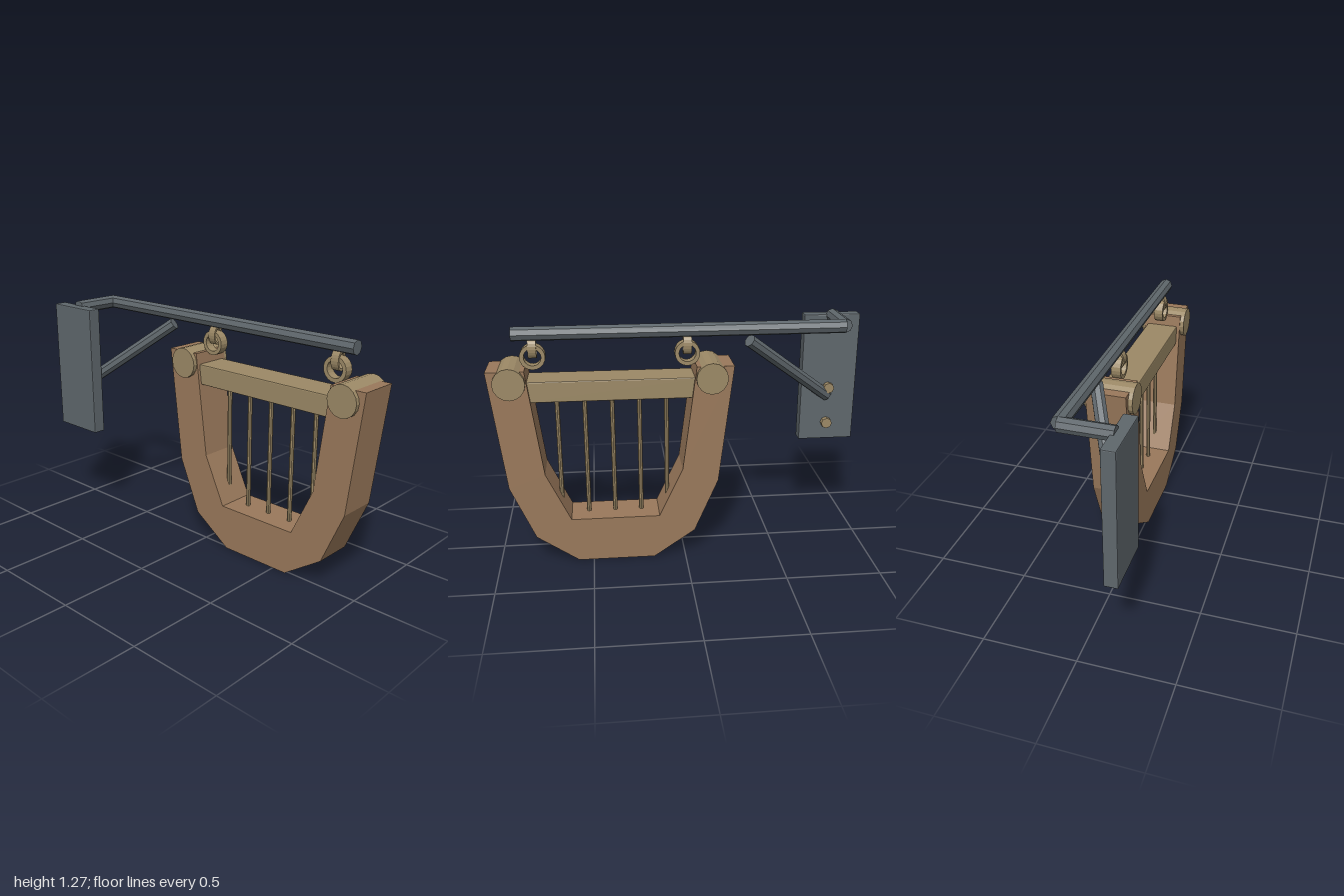
import * as THREE from 'three';
import { RoundedBoxGeometry } from 'three/addons/geometries/RoundedBoxGeometry.js';

const X = 0.09;   // plane of the hanging sign
const Z = 0.375;  // middle of the hanging sign

const paint = (color) => new THREE.MeshStandardMaterial({ color, flatShading: true });

export function createModel() {
  const model = new THREE.Group();
  const iron = paint(0x5f676c), wood = paint(0x9a795b), brass = paint(0x9c8966);

  const add = (name, geometry, material, x = 0, y = 0, z = 0, parent = model) => {
    const mesh = new THREE.Mesh(geometry, material);
    mesh.name = name;
    mesh.position.set(x, y, z);
    parent.add(mesh);
    return mesh;
  };

  // Round bar between two points
  const bar = (name, from, to, radius, material, sides = 8, parent = model) => {
    const a = new THREE.Vector3(...from), b = new THREE.Vector3(...to);
    const dir = b.clone().sub(a);
    const mid = a.clone().add(b).multiplyScalar(0.5);
    const mesh = add(name, new THREE.CylinderGeometry(radius, radius, dir.length(), sides),
      material, mid.x, mid.y, mid.z, parent);
    mesh.quaternion.setFromUnitVectors(new THREE.Vector3(0, 1, 0), dir.normalize());
    return mesh;
  };

  // Shape extruded evenly about its own plane
  const slab = (shape, depth) => new THREE.ExtrudeGeometry(shape,
    { depth, bevelEnabled: false, curveSegments: 10 }).translate(0, 0, -depth / 2);

  // Wall bracket
  const bracket = new THREE.Group();
  bracket.name = 'wallBracket';
  model.add(bracket);
  add('wallPlate', new RoundedBoxGeometry(0.07, 0.725, 0.31, 1, 0.005), iron, -0.185, 0.883, -0.845, bracket);
  bar('bracketArm', [-0.17, 1.237, -0.847], [X, 1.237, -0.847], 0.037, iron, 8, bracket);
  bar('pole', [X, 1.237, -0.845], [X, 1.237, 0.87], 0.037, iron, 8, bracket);
  bar('brace', [-0.16, 0.78, -0.84], [0.10, 1.175, -0.34], 0.034, iron, 8, bracket);
  for (const y of [0.83, 0.622]) {
    bar('bolt', [-0.16, y, -0.842], [-0.12, y, -0.842], 0.03, brass, 8, bracket);
  }

  // Curved frame: outer half profile down, inner half profile back up
  const sign = new THREE.Group();
  sign.name = 'hangingSign';
  sign.position.set(X, 0, Z);
  model.add(sign);
  const outer = [[0.625, 1.07], [0.55, 0.44], [0.425, 0.15], [0.205, 0]];
  const inner = [[0.235, 0.245], [0.36, 0.51], [0.432, 1.07]];
  const mirror = (points) => points.map(([s, y]) => [-s, y]).reverse();
  const outline = [...outer, ...mirror(outer), ...mirror(inner), ...mirror(mirror(inner)).slice(0)];
  // the inner edge runs from the far top, along the bottom, to the near top
  outline.splice(8, 6, ...mirror(inner), ...inner);
  const frame = new THREE.Shape(outline.map(([s, y]) => new THREE.Vector2(s, y)));
  add('frame', slab(frame, 0.215).rotateY(-Math.PI / 2), wood, 0, 0, 0, sign);

  // Crossbar and strings
  add('crossbar', new RoundedBoxGeometry(0.18, 0.11, 0.88, 1, 0.006), brass, 0, 0.955, 0, sign);
  for (let i = -2; i <= 2; i++) {
    bar('string', [0, 0.22, i * 0.142], [0, 0.92, i * 0.142], 0.012, brass, 8, sign);
  }

  // Hanging ring and the loop that joins it to the pole
  const ring = new THREE.Shape().absarc(0, 0, 0.065, 0, Math.PI * 2);
  ring.holes.push(new THREE.Path().absarc(0, 0, 0.044, 0, Math.PI * 2, true));
  const loop = new THREE.Shape().absellipse(0, 0, 0.031, 0.05, 0, Math.PI * 2);
  loop.holes.push(new THREE.Path().absellipse(0, 0, 0.022, 0.037, 0, Math.PI * 2, true));

  for (const side of [1, -1]) {
    bar('endKnob', [-0.13, 1.01, side * 0.51], [0.13, 1.01, side * 0.51], 0.082, brass, 16, sign);
    add('ring', slab(ring, 0.05).rotateY(-Math.PI / 2), brass, 0, 1.12, side * 0.393, sign);
    add('loop', slab(loop, 0.043), brass, 0, 1.16, side * 0.393, sign);
  }
  return model;
}
